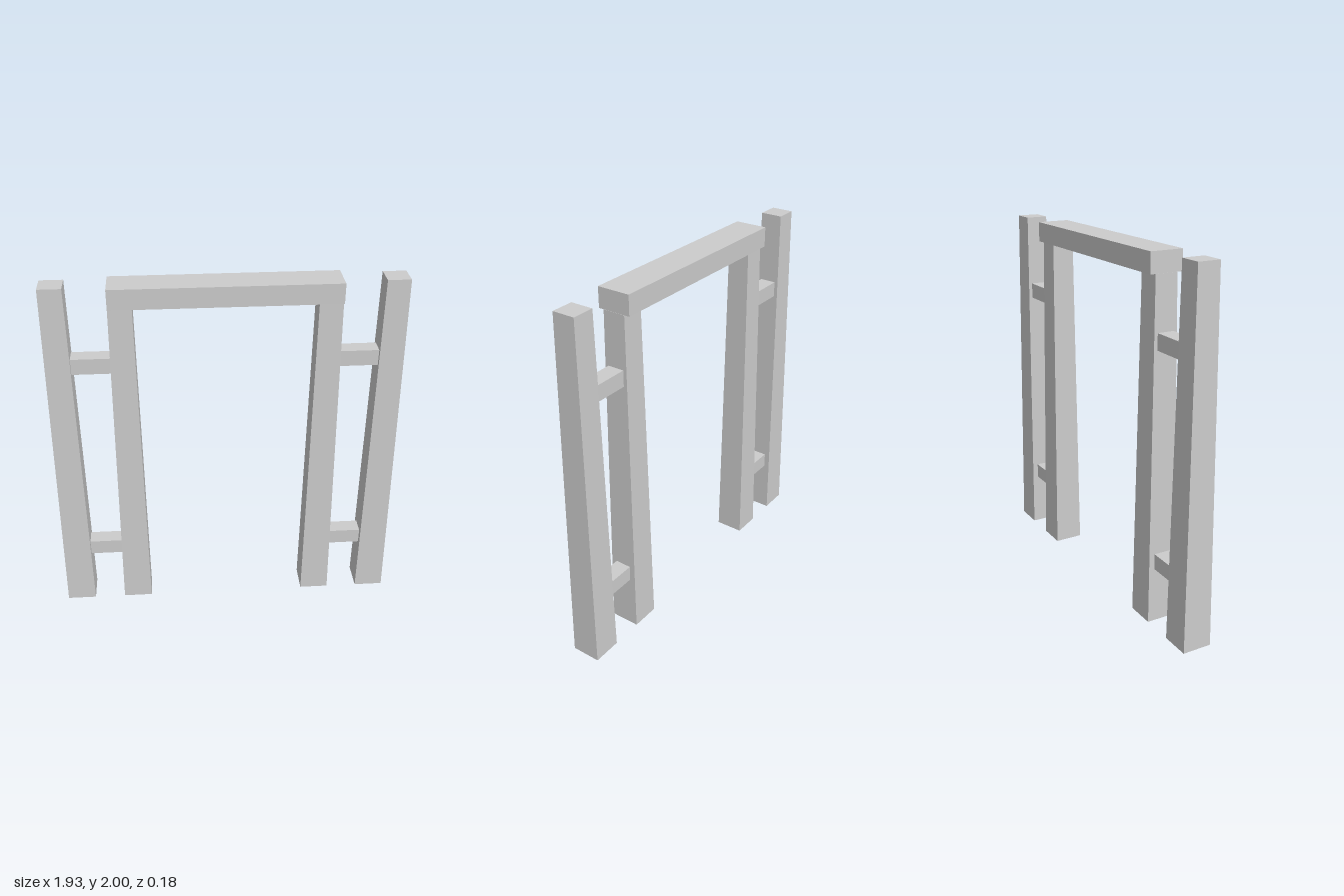
import * as THREE from 'three';

const material = new THREE.MeshStandardMaterial({ color: 0xcccccc, flatShading: true });

function addMesh(parent, name, geometry, x, y) {
  const mesh = new THREE.Mesh(geometry, material);
  mesh.name = name;
  mesh.position.set(x, y, 0);
  parent.add(mesh);
}

// Square post standing on the ground, tapering towards the top
function postGeometry(bottomHalf, topHalf, height) {
  return new THREE.CylinderGeometry(topHalf * Math.SQRT2, bottomHalf * Math.SQRT2, height, 4)
    .rotateY(Math.PI / 4)
    .translate(0, height / 2, 0);
}

export function createModel() {
  const gate = new THREE.Group();
  gate.name = 'gate';

  for (const [side, s] of [['left', 1], ['right', -1]]) {
    const frame = new THREE.Group();
    frame.name = `${side}Frame`;

    // Main post carries the lintel, outer post stands free
    addMesh(frame, 'innerPost', postGeometry(0.082, 0.0625, 1.89), s * 0.542, 0);
    addMesh(frame, 'outerPost', postGeometry(0.082, 0.062, 2), s * 0.883, 0);

    // Rungs tie the two posts together
    addMesh(frame, 'lowerRung', new THREE.BoxGeometry(0.24, 0.088, 0.092), s * 0.7125, 0.355);
    addMesh(frame, 'upperRung', new THREE.BoxGeometry(0.24, 0.088, 0.092), s * 0.7125, 1.556);
    gate.add(frame);
  }

  // Lintel across the two main posts
  addMesh(gate, 'lintel', new THREE.BoxGeometry(1.206, 0.11, 0.184), 0, 1.945);
  return gate;
}
